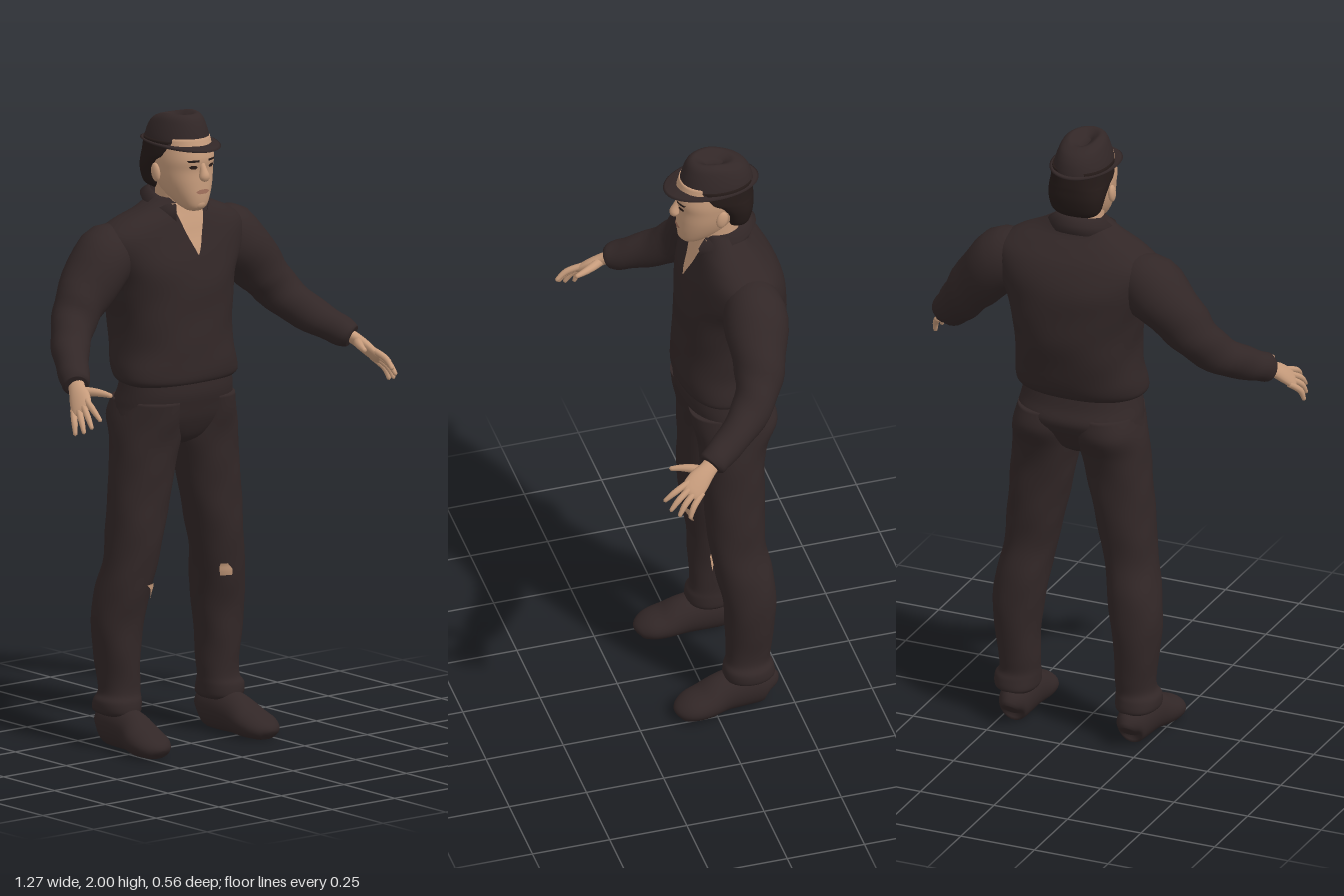
import * as THREE from 'three';

const mat = (name, color, side = THREE.FrontSide) => {
  const m = new THREE.MeshStandardMaterial({ color, side });
  m.name = name;
  return m;
};

// Catmull-Rom resampling of section rows, k steps between neighbours
function smooth(rows, k) {
  const out = [], at = i => rows[Math.max(0, Math.min(rows.length - 1, i))];
  for (let i = 0; i < rows.length - 1; i++) {
    for (let j = 0; j < k; j++) {
      const t = j / k, [a, b, c, d] = [at(i - 1), at(i), at(i + 1), at(i + 2)];
      out.push(b.map((p, n) => p + 0.5 * t * (c[n] - a[n] + t * (2 * a[n] - 5 * p + 4 * c[n] - d[n]
        + t * (3 * (p - c[n]) + d[n] - a[n])))));
    }
  }
  out.push(rows[rows.length - 1]);
  return out;
}

// Surface through rows of Vector3; closed rows may get end caps at given points
function surface(rows, closed = true, caps = null) {
  const n = rows[0].length, pos = [], idx = [];
  rows.forEach(r => r.forEach(p => pos.push(p.x, p.y, p.z)));
  for (let i = 0; i < rows.length - 1; i++) {
    for (let j = 0; j < (closed ? n : n - 1); j++) {
      const a = i * n + j, b = i * n + (j + 1) % n;
      idx.push(a, b, b + n, a, b + n, a + n);
    }
  }
  if (caps) caps.forEach((p, e) => {
    const c = pos.length / 3, o = e * (rows.length - 1) * n;
    pos.push(p.x, p.y, p.z);
    for (let j = 0; j < n; j++) {
      const a = o + j, b = o + (j + 1) % n;
      e ? idx.push(a, b, c) : idx.push(b, a, c);
    }
  });
  const g = new THREE.BufferGeometry();
  g.setAttribute('position', new THREE.Float32BufferAttribute(pos, 3));
  g.setIndex(idx);
  g.computeVertexNormals();
  return g;
}

const spow = (v, e) => Math.sign(v) * Math.abs(v) ** e;

// Upright body from level sections [y, centreX, halfWidth, backZ, frontZ]
function stack(secs, { s = 1, e = 2.3, n = 40, fold = 0, k = 5, dip = 0 } = {}) {
  const rows = smooth(secs, k).map(([y, cx, rx, zb, zf]) => Array.from({ length: n }, (_, j) => {
    const a = j / n * Math.PI * 2;
    const f = 1 + fold * (Math.sin(3 * a + y * 31) + 0.7 * Math.sin(5 * a - y * 47));
    return new THREE.Vector3(s * cx + f * rx * spow(Math.sin(a), 2 / e), y,
      (zb + zf) / 2 + f * (zf - zb) / 2 * spow(Math.cos(a), 2 / e));
  }));
  const mid = (q, d) => new THREE.Vector3(s * q[1], q[0] + d, (q[3] + q[4]) / 2);
  return surface(rows, true, [mid(secs[0], 0), mid(secs[secs.length - 1], dip)]);
}

// Body along a path [x, y, z, radius across, radius along hint]
function limb(pts, hint, { s = 1, n = 18, k = 4, fold = 0, round = 0 } = {}) {
  const q = smooth(pts, k), P = q.map(p => new THREE.Vector3(s * p[0], p[1], p[2]));
  const H = new THREE.Vector3(s * hint[0], hint[1], hint[2]);
  const tan = i => P[Math.min(i + 1, P.length - 1)].clone().sub(P[Math.max(i - 1, 0)]).normalize();
  const rows = q.map((p, i) => {
    const T = tan(i), N = H.clone().addScaledVector(T, -H.dot(T)).normalize();
    const S = T.clone().cross(N);
    return Array.from({ length: n }, (_, j) => {
      const a = j / n * Math.PI * 2, f = 1 + fold * Math.sin(2 * a + i * 1.3);
      return P[i].clone().addScaledVector(S, f * p[3] * Math.sin(a)).addScaledVector(N, f * p[4] * Math.cos(a));
    });
  });
  const end = P.length - 1;
  return surface(rows, true, [P[0], P[end].clone().addScaledVector(tan(end), round)]);
}

// Thin sheet of rows [y, x0, x1] laid on the front of a stack
function sheet(secs, rows, { s = 1, e = 2.3, off = 0.003 } = {}) {
  const fine = smooth(secs, 12);
  return surface(smooth(rows, 3).map(([y, x0, x1]) => {
    const c = fine.reduce((a, b) => Math.abs(b[0] - y) < Math.abs(a[0] - y) ? b : a);
    const row = Array.from({ length: 9 }, (_, j) => {
      const x = x0 + (x1 - x0) * j / 8, u = Math.min(1, Math.abs((x - c[1]) / c[2]));
      return new THREE.Vector3(s * x, y, (c[3] + c[4]) / 2 + (c[4] - c[3]) / 2 * (1 - u ** e) ** (1 / e) + off);
    });
    return s < 0 ? row.reverse() : row;
  }), false);
}

const TORSO = [[1.15, 0, .185, -.18, .045], [1.165, 0, .208, -.215, .06], [1.2, 0, .21, -.24, .064],
  [1.27, 0, .2, -.26, .06], [1.37, 0, .203, -.278, .055], [1.47, 0, .222, -.28, .05], [1.55, 0, .255, -.27, .035],
  [1.62, 0, .272, -.238, .012], [1.665, 0, .22, -.2, -.002], [1.7, 0, .14, -.165, -.015], [1.735, 0, .08, -.15, -.025]];
const PELVIS = [[.95, 0, .04, -.13, -.04], [.975, 0, .11, -.165, 0], [1.03, 0, .2, -.205, .03],
  [1.08, 0, .202, -.232, .045], [1.13, 0, .193, -.215, .055], [1.2, 0, .18, -.2, .05]];
const LEG = [[.105, .2, .055, -.18, -.045], [.118, .205, .069, -.195, -.032], [.15, .205, .07, -.19, -.033],
  [.175, .198, .062, -.182, -.043], [.22, .197, .063, -.187, -.045], [.3, .202, .069, -.195, -.04],
  [.4, .2, .08, -.2, -.035], [.5, .188, .083, -.195, -.015], [.6, .17, .082, -.175, 0], [.7, .155, .09, -.178, .008],
  [.8, .14, .097, -.18, .01], [.9, .125, .104, -.185, .015], [.97, .114, .108, -.2, .022],
  [1.04, .108, .103, -.232, .035], [1.1, .1, .095, -.22, .045]];
const HEAD = [[1.7, 0, .022, -.01, .035], [1.715, 0, .042, -.04, .05], [1.75, 0, .064, -.1, .056],
  [1.79, 0, .079, -.13, .056], [1.83, 0, .086, -.15, .055], [1.87, 0, .088, -.16, .06], [1.93, 0, .08, -.16, .045]];

export function createModel() {
  const model = new THREE.Group();
  const cloth = mat('darkCloth', 0x322727, THREE.DoubleSide);
  const skin = mat('skin', 0xc79c7c, THREE.DoubleSide);
  const hairM = mat('hair', 0x241a18);
  const lipM = mat('lips', 0xa5745f), eyeM = mat('eyes', 0x2a1c18);
  const add = (name, geo, m) => {
    const mesh = new THREE.Mesh(geo, m);
    mesh.name = name;
    model.add(mesh);
    return mesh;
  };

  // Shirt, trousers and open neck
  add('shirt', stack(TORSO, { fold: .006, n: 56 }), cloth);
  add('trouserSeat', stack(PELVIS), cloth);
  add('openNeck', sheet(TORSO, [[1.56, -.002, .002], [1.6, -.02, .02], [1.66, -.043, .043], [1.72, -.06, .06]],
    { off: .006 }), skin);
  add('neck', stack([[1.62, 0, .065, -.14, -.02], [1.7, 0, .062, -.14, -.012], [1.8, 0, .062, -.14, .01]]), skin);

  // Folded collar, open at the front
  const collar = [[1, -.055, -.008], [.8, -.02, .012], [0, 0, 0], [.6, -.015, -.006]].map(([out, dy, dr]) =>
    Array.from({ length: 41 }, (_, j) => {
      const a = .62 + (Math.PI * 2 - 1.24) * j / 40, front = (1 + Math.cos(a)) / 2;
      const w = out * (.022 + .012 * front) + dr;
      return new THREE.Vector3((.07 + w) * Math.sin(a), 1.765 - .045 * front + dy * (1 + .25 * front),
        -.083 - .01 * (1 - front) + (.072 + w) * Math.cos(a));
    }));
  add('collar', surface(collar, false), cloth);

  // Head and face
  add('head', stack(HEAD), skin);
  add('nose', limb([[0, 1.86, .05, .008, .006], [0, 1.835, .058, .011, .012], [0, 1.812, .064, .017, .017],
    [0, 1.803, .06, .012, .01]], [0, 0, 1]), skin);
  add('chin', new THREE.SphereGeometry(.026, 16, 12).scale(1, .75, .7).translate(0, 1.724, .036), skin);
  add('lips', sheet(HEAD, [[1.757, -.014, .014], [1.764, -.026, .026], [1.771, -.012, .012]]), lipM);
  add('hair', stack([[1.755, 0, .05, -.15, -.09], [1.775, 0, .078, -.17, -.085], [1.82, 0, .091, -.182, -.065],
    [1.855, 0, .094, -.184, -.02], [1.875, 0, .094, -.184, .022], [1.92, 0, .09, -.18, .035]]), hairM);

  // Hat crown, lower at the back with a dent on top
  const crown = stack([[1.9, 0, .09, -.187, .05], [1.93, 0, .086, -.184, .044], [1.965, 0, .076, -.175, .034],
    [1.99, 0, .064, -.158, .022], [2, 0, .046, -.13, .005], [1.992, 0, .03, -.11, -.015], [1.978, 0, .015, -.09, -.035]],
    { e: 2.1, dip: -.003 });
  const cp = crown.attributes.position;
  for (let i = 0; i < cp.count; i++) {
    const y = cp.getY(i);
    cp.setY(i, y - Math.max(0, -cp.getZ(i) - .06) * Math.max(0, y - 1.9) * 2.2);
  }
  crown.computeVertexNormals();
  add('hatCrown', crown, cloth);
  const brim = [[.078, .11, -.004], [.098, .145, -.004], [.105, .152, 0], [.098, .145, .004], [.078, .11, .006]];
  add('hatBrim', surface(brim.map(([rx, rz, dy]) => Array.from({ length: 48 }, (_, j) => {
    const a = j / 48 * Math.PI * 2, reach = (rx - .078) / .027;
    return new THREE.Vector3(rx * Math.sin(a), 1.903 + dy + reach * (.006 * Math.sin(a) ** 2 - .006 * Math.cos(a)),
      -.053 + rz * Math.cos(a));
  }))), cloth);

  for (const s of [1, -1]) {
    const side = s > 0 ? 'left' : 'right', o = { s };
    // Eyes, brows and ears
    add(side + 'Eye', sheet(HEAD, [[1.838, .028, .04], [1.844, .022, .048], [1.85, .03, .042]], o), eyeM);
    add(side + 'Brow', sheet(HEAD, [[1.86, .018, .05], [1.867, .018, .056]], o), hairM);
    add(side + 'Ear', new THREE.SphereGeometry(.03, 14, 10).scale(.35, 1, .62)
      .rotateX(-.2).translate(s * .092, 1.818, -.062), skin);

    // Sleeve and cuff
    add(side + 'Sleeve', limb([[.15, 1.6, -.12, .06, .06], [.245, 1.56, -.12, .1, .1], [.345, 1.455, -.105, .085, .085],
      [.4, 1.385, -.085, .072, .07], [.455, 1.32, -.035, .062, .06], [.51, 1.27, .045, .052, .05],
      [.543, 1.242, .1, .044, .046], [.551, 1.235, .113, .034, .036]], [0, 0, 1], { s, n: 28, fold: .03 }), cloth);

    // Hand with four fingers and a thumb
    const across = [.03, -.03, -.045];
    add(side + 'Palm', limb([[.54, 1.245, .095, .02, .026], [.558, 1.226, .125, .019, .028],
      [.573, 1.203, .157, .018, .036], [.589, 1.178, .185, .014, .036], [.595, 1.17, .196, .008, .028]],
      across, { s, round: .003 }), skin);
    const fingers = [[.577, 1.196, .202, .583, 1.155, .275], [.587, 1.184, .197, .607, 1.132, .262],
      [.596, 1.173, .186, .619, 1.115, .238], [.603, 1.163, .17, .627, 1.105, .205]];
    fingers.forEach(([x, y, z, u, v, w], i) => add(side + 'Finger' + (i + 1), limb([
      [x - .006, y + .008, z - .016, .01, .01], [(x + u) / 2 + .004, (y + v) / 2 + .006, (z + w) / 2, .01, .01],
      [u, v, w - .004, .0065, .0065]], across, { s, n: 10, round: .005 }), skin));
    add(side + 'Thumb', limb([[.56, 1.222, .13, .015, .016], [.535, 1.222, .165, .014, .014],
      [.518, 1.22, .198, .011, .011], [.507, 1.216, .23, .007, .007]], across, { s, n: 10, round: .005 }), skin);

    // Trouser leg and shoe
    add(side + 'TrouserLeg', stack(LEG, { s, e: 2.15, fold: .009 }), cloth);
    const shoe = limb([[.2, .05, -.182, .025, .035], [.2, .062, -.165, .046, .062], [.202, .068, -.1, .054, .07],
      [.206, .062, -.03, .058, .064], [.213, .044, .03, .067, .05], [.217, .034, .08, .063, .04],
      [.218, .024, .113, .042, .027], [.218, .018, .123, .015, .012]], [0, 1, 0], { s, n: 28, round: .002 });
    const sp = shoe.attributes.position;
    for (let i = 0; i < sp.count; i++) sp.setY(i, Math.max(0, sp.getY(i)));
    shoe.computeVertexNormals();
    add(side + 'Shoe', shoe, cloth);
  }

  // Small tears at the knees
  const tear = { e: 2.15, off: .006 };
  add('leftKneeTear', sheet(LEG, [[.51, .135, .17], [.53, .13, .168], [.55, .13, .15]], tear), skin);
  add('rightKneeTear', sheet(LEG, [[.475, .132, .14], [.505, .13, .15], [.525, .13, .172]], { ...tear, s: -1 }), skin);
  return model;
}
